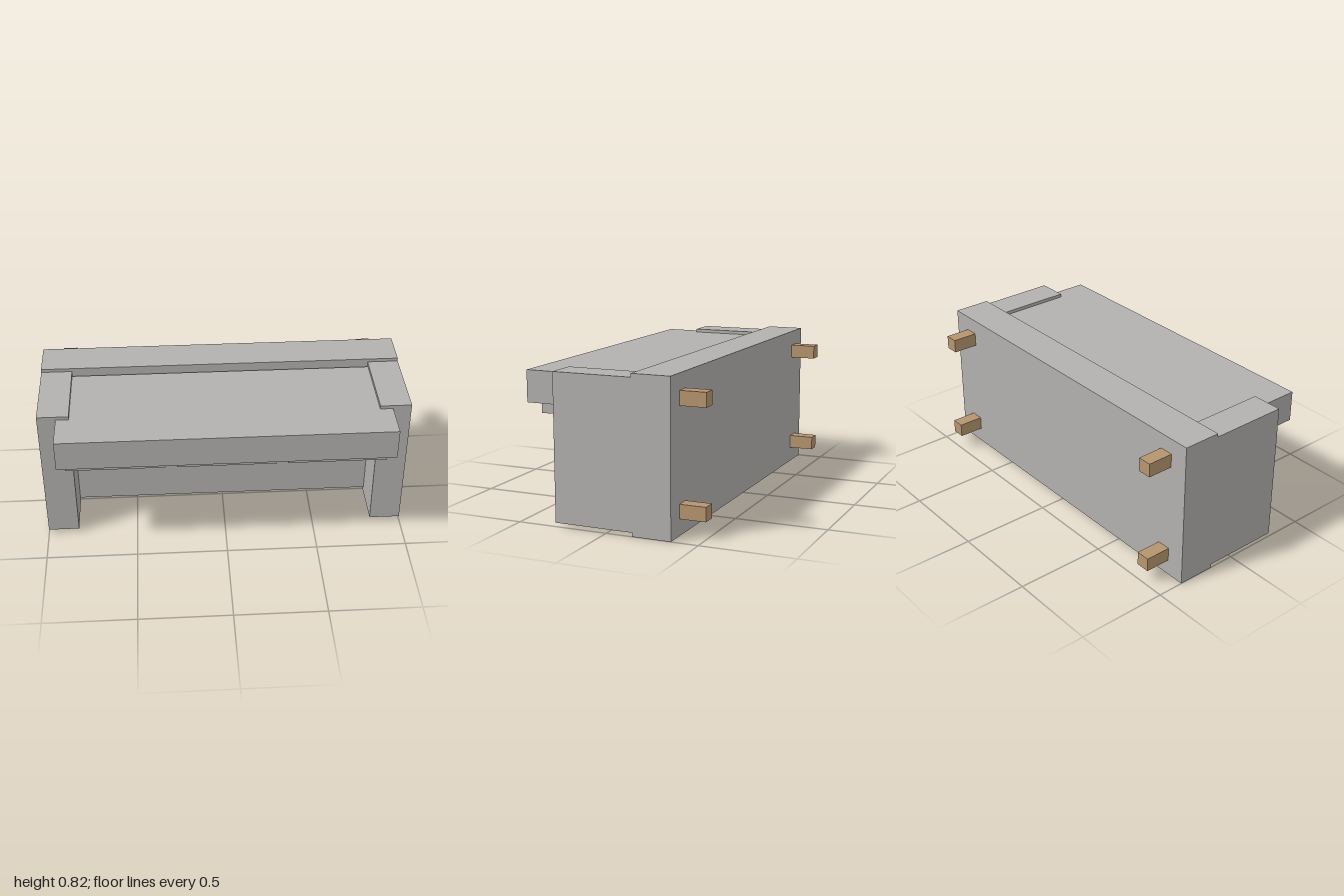
import * as THREE from 'three';

// A boxy three-seat sofa lying on its back: its underside faces -z
export function createModel() {
  const fabric = new THREE.MeshStandardMaterial({ name: 'grey fabric', color: 0xb3b1af });
  const wood = new THREE.MeshStandardMaterial({ name: 'light wood', color: 0xb6956f });
  const sofa = new THREE.Group();
  sofa.name = 'sofa';

  // Box given by its extents on each axis
  function block(name, material, [x0, x1], [y0, y1], [z0, z1]) {
    const mesh = new THREE.Mesh(new THREE.BoxGeometry(x1 - x0, y1 - y0, z1 - z0), material);
    mesh.position.set((x0 + x1) / 2, (y0 + y1) / 2, (z0 + z1) / 2);
    mesh.name = name;
    sofa.add(mesh);
  }

  // Base frame, seat and backrest; a narrow gap separates seat and base
  block('base', fabric, [-1, 1], [0, 0.82], [-0.355, -0.145]);
  block('seat', fabric, [-0.83, 0.83], [0.052, 0.63], [-0.13, 0.05]);
  block('backrest', fabric, [-0.9, 0.9], [0.612, 0.782], [-0.125, 0.497]);

  // Three back cushions
  for (const x of [-0.593, 0, 0.593]) {
    block('backCushion', fabric, [x - 0.266, x + 0.266], [0.554, 0.612], [0.04, 0.436]);
  }

  // Armrests and short square legs, mirrored left and right
  for (const [side, s] of [['left', 1], ['right', -1]]) {
    const span = (a, b) => (s > 0 ? [a, b] : [-b, -a]);
    block(side + 'Armrest', fabric, span(0.83, 1), [0.021, 0.801], [-0.145, 0.288]);
    for (const y of [0.126, 0.697]) {
      block(side + 'Leg', wood, span(0.82, 0.896), [y - 0.038, y + 0.038], [-0.497, -0.355]);
    }
  }
  return sofa;
}
